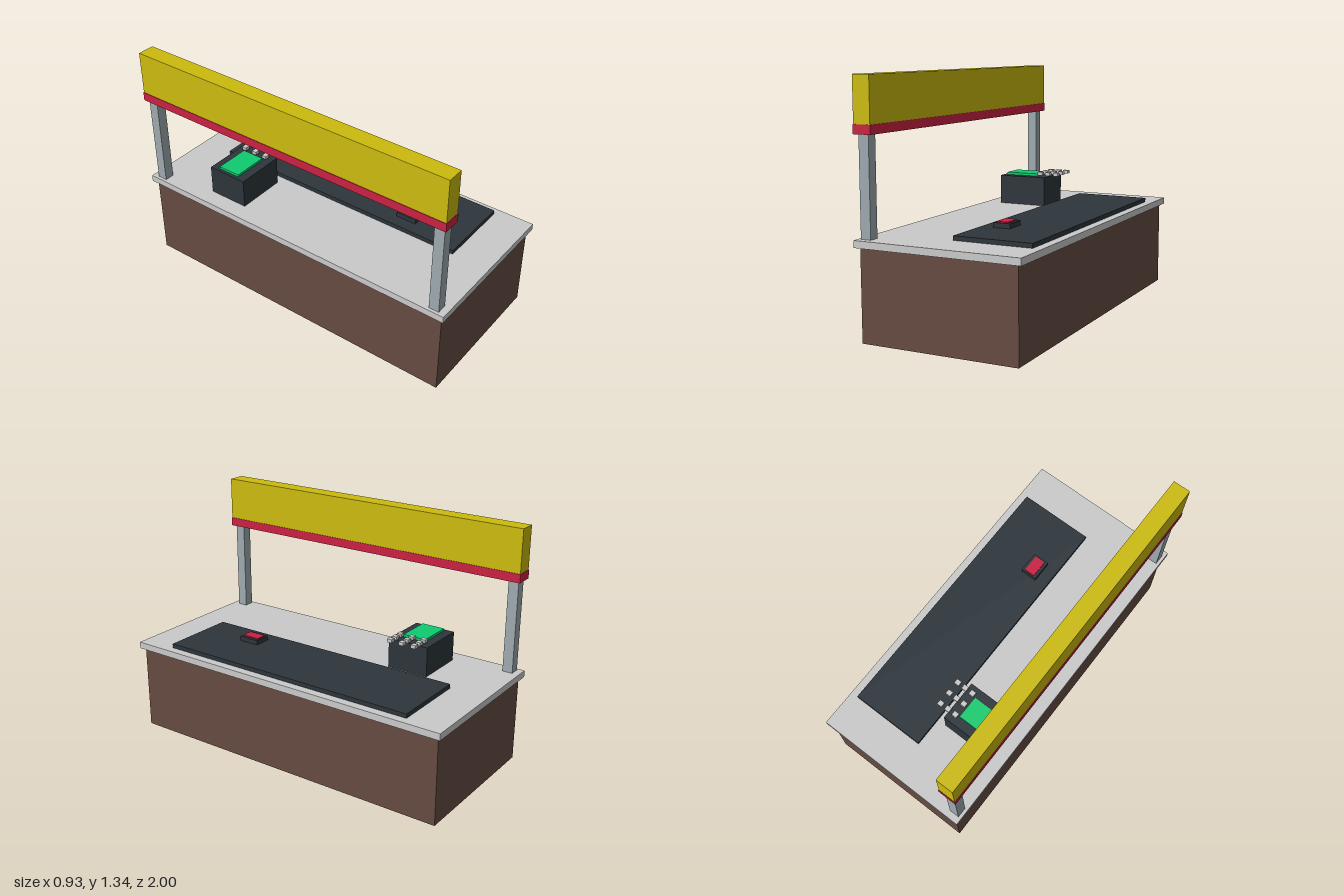
import * as THREE from 'three';

const mat = (name, color) => {
  const m = new THREE.MeshStandardMaterial({ color });
  m.name = name;
  return m;
};

export function createModel() {
  const model = new THREE.Group();
  model.name = 'checkoutCounter';

  const brown = mat('brown', 0x664b41);
  const lightGrey = mat('lightGrey', 0xcacaca);
  const steel = mat('steel', 0x9da9af);
  const dark = mat('charcoal', 0x2d353b);
  const yellow = mat('yellow', 0xcbbb0e);
  const red = mat('red', 0xca2142);
  const green = mat('green', 0x0fcb70);

  // Box given by its extents along each axis
  const box = (name, material, [x0, x1], [y0, y1], [z0, z1], parent = model) => {
    const mesh = new THREE.Mesh(new THREE.BoxGeometry(x1 - x0, y1 - y0, z1 - z0), material);
    mesh.position.set((x0 + x1) / 2, (y0 + y1) / 2, (z0 + z1) / 2);
    mesh.name = name;
    parent.add(mesh);
    return mesh;
  };

  // Counter
  box('counterBody', brown, [-0.438, 0.438], [0, 0.49], [-0.978, 0.978]);
  box('counterTop', lightGrey, [-0.462, 0.462], [0.49, 0.528], [-1, 1]);

  // Overhead sign on two posts
  for (const s of [-1, 1]) {
    const z = s * 0.933;
    box(s > 0 ? 'frontPost' : 'backPost', steel, [-0.444, -0.386], [0.528, 1.052], [z - 0.029, z + 0.029]);
  }
  box('signTrim', red, [-0.466, -0.362], [1.05, 1.099], [-0.979, 0.979]);
  box('signBoard', yellow, [-0.463, -0.365], [1.099, 1.342], [-0.977, 0.977]);

  // Conveyor belt with scanner
  box('conveyorBelt', dark, [-0.022, 0.414], [0.528, 0.552], [-0.783, 0.783]);
  box('scanner', dark, [0.049, 0.146], [0.552, 0.578], [0.378, 0.5]);
  box('scannerWindow', red, [0.066, 0.129], [0.578, 0.584], [0.386, 0.49]);

  // Cash register with screen and keypad
  const register = new THREE.Group();
  register.name = 'cashRegister';
  model.add(register);
  box('registerBody', dark, [-0.364, -0.074], [0.528, 0.696], [-0.609, -0.369], register);
  box('registerScreen', green, [-0.345, -0.14], [0.696, 0.71], [-0.557, -0.421], register);
  for (let i = 0; i < 3; i++) {
    for (let j = 0; j < 3; j++) {
      const x = -0.117 + i * 0.05, z = -0.563 + j * 0.074;
      box('key', lightGrey, [x - 0.015, x + 0.015], [0.705, 0.724], [z - 0.014, z + 0.014], register);
    }
  }
  return model;
}
